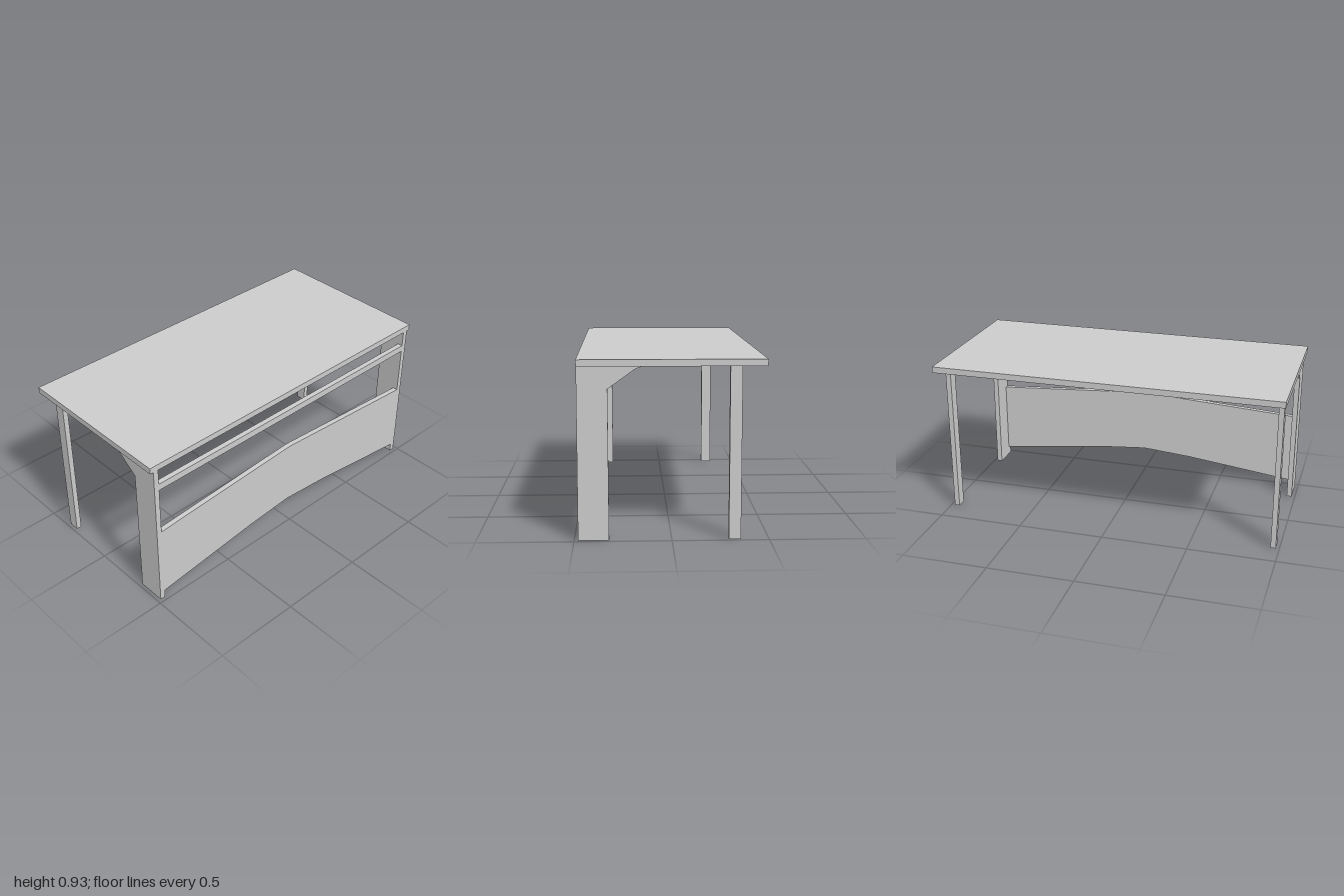
import * as THREE from 'three';

const TOP = 0.93, UNDER = 0.895;   // table top surface and underside
const EDGE = 0.48;                 // half width of the table
const BOARD = 0.03;                // board thickness
const LEG_Z = 0.965;               // centre of the end boards

const material = new THREE.MeshStandardMaterial({ color: 0xcccccc, flatShading: true });

function box(name, x0, x1, y0, y1, z0, z1) {
  const mesh = new THREE.Mesh(new THREE.BoxGeometry(x1 - x0, y1 - y0, z1 - z0), material);
  mesh.position.set((x0 + x1) / 2, (y0 + y1) / 2, (z0 + z1) / 2);
  mesh.name = name;
  return mesh;
}

// Flat board cut from an outline, centred on its thickness
function board(name, points) {
  const shape = new THREE.Shape(points.map(([x, y]) => new THREE.Vector2(x, y)));
  const geometry = new THREE.ExtrudeGeometry(shape, { depth: BOARD, bevelEnabled: false });
  geometry.translate(0, 0, -BOARD / 2);
  const mesh = new THREE.Mesh(geometry, material);
  mesh.name = name;
  return mesh;
}

export function createModel() {
  const table = new THREE.Group();
  table.name = 'table';

  table.add(box('tableTop', -EDGE, EDGE, UNDER, TOP, -1, 1));

  // A wide bracketed leg and a narrow leg at each end
  for (const [side, s] of [['front', 1], ['back', -1]]) {
    const wide = board(side + 'WideLeg', [
      [0.321, 0], [EDGE, 0], [EDGE, UNDER], [0.145, UNDER], [0.185, 0.88], [0.324, 0.78],
    ]);
    wide.position.z = s * LEG_Z;
    table.add(wide);

    const z = s * LEG_Z;
    table.add(box(side + 'NarrowLeg', -0.355, -0.293, 0, UNDER, z - BOARD / 2, z + BOARD / 2));
  }

  // Arched panel between the wide legs, flush with their outer edge
  const inner = LEG_Z - BOARD / 2;
  const panel = board('archedPanel', [
    [-inner, 0.05], [-0.3, 0.13], [0, 0.155], [0.3, 0.13], [inner, 0.05],
    [inner, 0.48], [0, 0.54], [-inner, 0.48],
  ]);
  panel.rotation.y = Math.PI / 2;
  panel.position.x = EDGE - BOARD / 2;
  table.add(panel);

  // Rail above the panel
  table.add(box('rail', EDGE - BOARD, EDGE, 0.763, 0.803, -inner, inner));

  return table;
}
